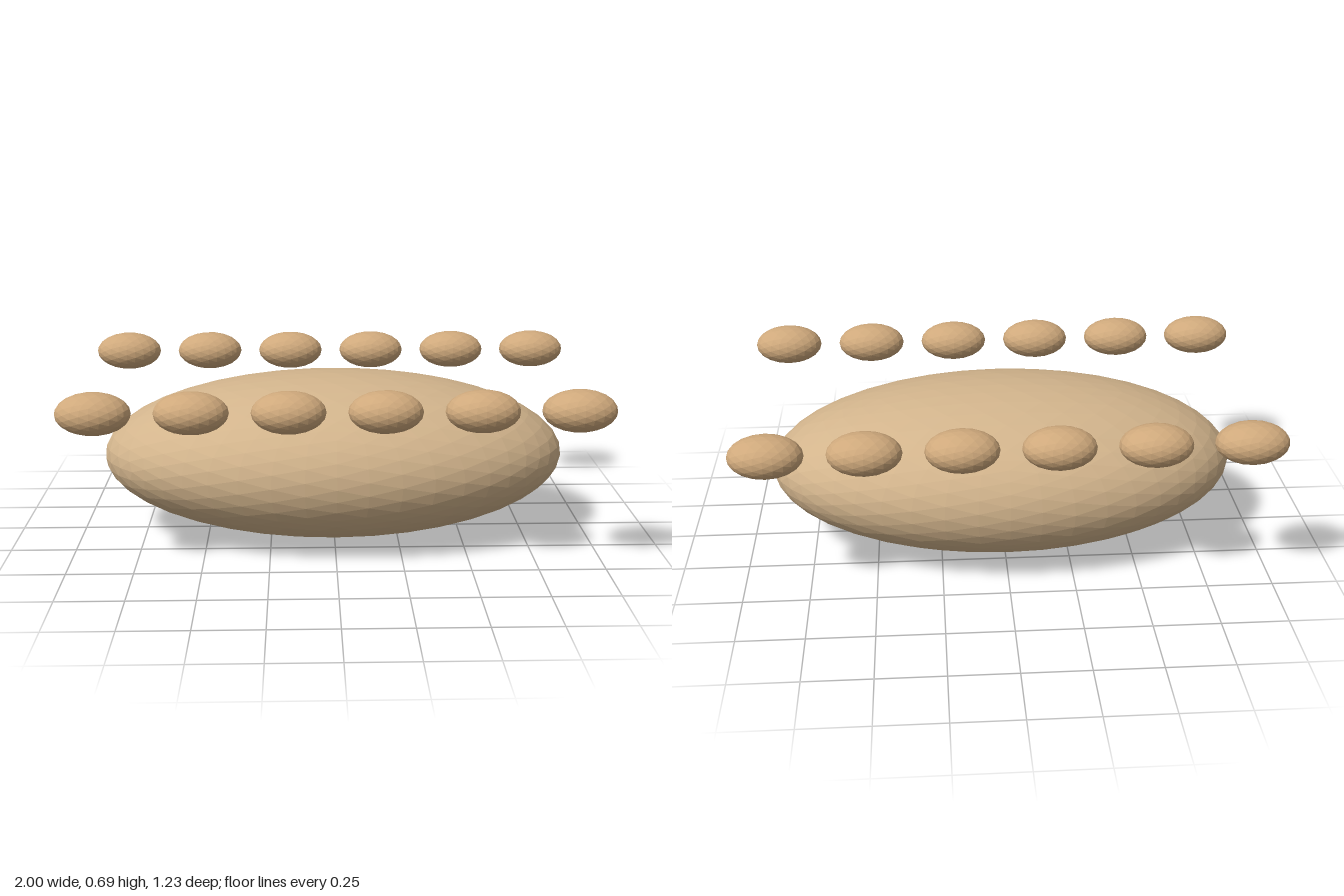
import * as THREE from 'three';

// Faceted ellipsoid with the given radii and centre
function ellipsoid(name, radii, centre, detail, material) {
  const geometry = new THREE.IcosahedronGeometry(1, detail);
  geometry.scale(...radii);
  geometry.computeVertexNormals();
  const mesh = new THREE.Mesh(geometry, material);
  mesh.name = name;
  mesh.position.set(...centre);
  return mesh;
}

export function createModel() {
  const model = new THREE.Group();
  model.name = 'ovalBodyWithBeads';
  const bodyMaterial = new THREE.MeshStandardMaterial({ color: 0xd2b48c, flatShading: true });
  const beadMaterial = new THREE.MeshStandardMaterial({ color: 0xcfa97c, flatShading: true });

  // Large flattened body resting on the ground
  model.add(ellipsoid('body', [0.905, 0.318, 0.508], [0, 0.32, 0], 7, bodyMaterial));

  // Two straight rows of six small beads, along the front and back
  for (const [rowName, z] of [['frontBeadRow', 0.52], ['backBeadRow', -0.52]]) {
    const row = new THREE.Group();
    row.name = rowName;
    for (let i = 0; i < 6; i++) {
      const x = (i - 2.5) * 0.346;
      row.add(ellipsoid(`bead${i + 1}`, [0.135, 0.077, 0.095], [x, 0.618, z], 3, beadMaterial));
    }
    model.add(row);
  }
  return model;
}
